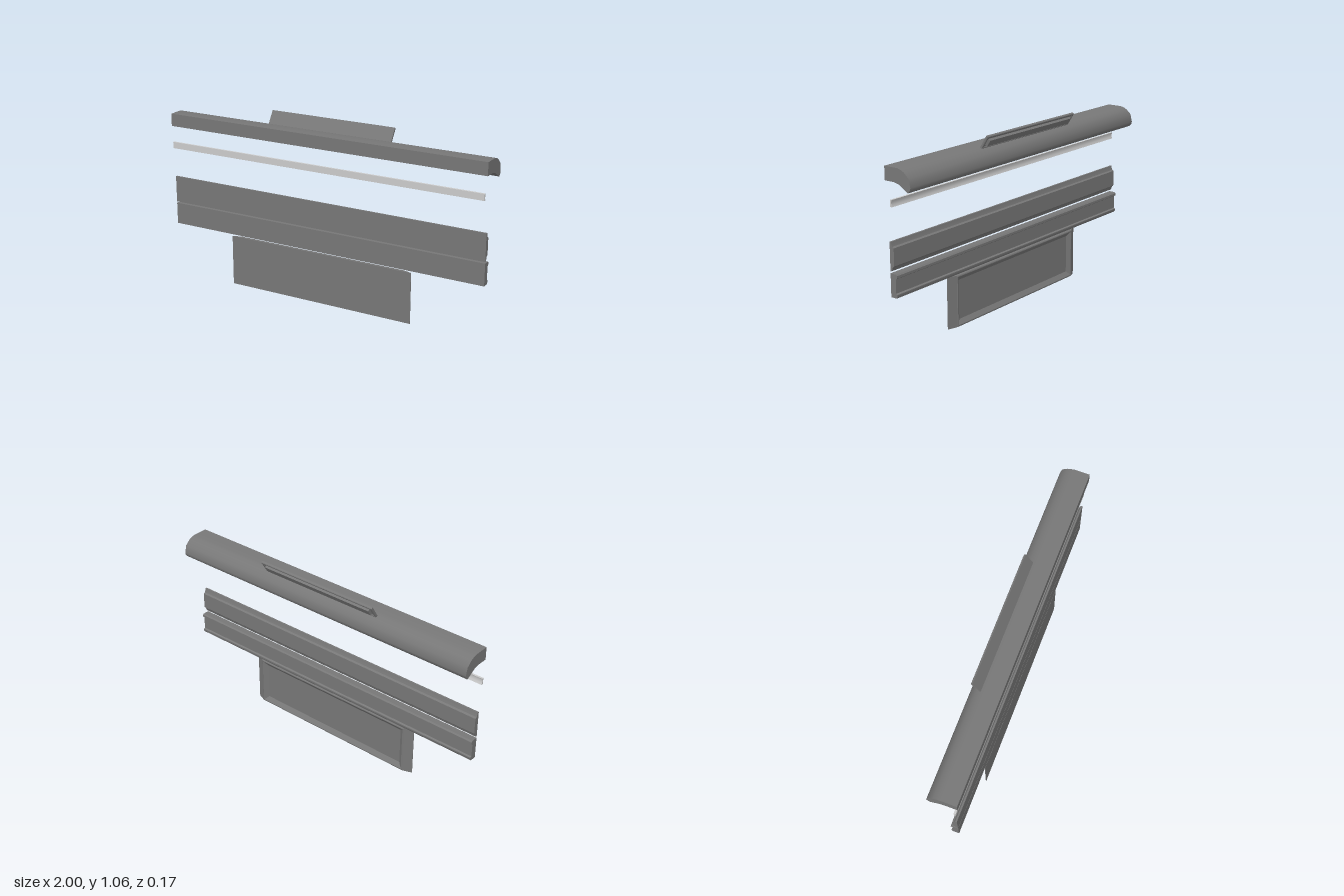
import * as THREE from 'three';
import { toCreasedNormals } from 'three/addons/utils/BufferGeometryUtils.js';

const dark = new THREE.MeshStandardMaterial({ color: 0x777777 });
const light = new THREE.MeshStandardMaterial({ color: 0xcccccc });

// Bar running along x from x0 to x1 with a (z, y) cross-section
function bar(name, profile, x0, x1, material = dark) {
  const shape = new THREE.Shape(profile.map(([z, y]) => new THREE.Vector2(-z, y)));
  const geometry = new THREE.ExtrudeGeometry(shape, { depth: x1 - x0, bevelEnabled: false });
  geometry.rotateY(Math.PI / 2).translate(x0, 0, 0);
  const mesh = new THREE.Mesh(toCreasedNormals(geometry, 0.62), material);
  mesh.name = name;
  return mesh;
}

// Rectangular plate, skinned from front to back through rings of [inset x, inset y, depth]
function plate(name, width, height, rings) {
  const positions = [], index = [];
  rings.forEach(([ix, iy, d], r) => {
    const w = width / 2 - ix;
    positions.push(-w, iy, -d, w, iy, -d, w, height - iy, -d, -w, height - iy, -d);
    if (r === 0) return;
    for (let i = 0; i < 4; i++) {
      const j = (i + 1) % 4, a = (r - 1) * 4, b = r * 4;
      index.push(a + i, b + i, b + j, a + i, b + j, a + j);
    }
  });
  const e = (rings.length - 1) * 4;
  index.push(0, 1, 2, 0, 2, 3, e, e + 2, e + 1, e, e + 3, e + 2);
  const indexed = new THREE.BufferGeometry();
  indexed.setAttribute('position', new THREE.Float32BufferAttribute(positions, 3));
  indexed.setIndex(index);
  const geometry = indexed.toNonIndexed();
  geometry.computeVertexNormals();
  const mesh = new THREE.Mesh(geometry, dark);
  mesh.name = name;
  return mesh;
}

export function createModel() {
  const group = new THREE.Group();
  const x0 = -0.994, x1 = 0.998;

  // Curved top cover, rounded over at the back and hollowed underneath
  group.add(bar('topCover', [
    [0.088, 0.919], [0.088, 0.993], [0, 0.993], [-0.02, 0.988], [-0.042, 0.978],
    [-0.072, 0.951], [-0.083, 0.906], [-0.08, 0.892], [-0.066, 0.877],
    [-0.007, 0.912], [0.027, 0.919],
  ], x0, x1));

  // Thin trim strip
  group.add(bar('trimStrip', [
    [0.074, 0.78], [0.074, 0.818], [0.062, 0.818], [0.066, 0.808], [0.066, 0.791], [0.062, 0.78],
  ], -1, 0.98, light));

  // Upper rail, stepped down at both long edges
  group.add(bar('upperRail', [
    [0.069, 0.448], [0.069, 0.606], [0.059, 0.606], [0.056, 0.592], [0.052, 0.581], [0.042, 0.575],
    [0.042, 0.48], [0.052, 0.472], [0.056, 0.461], [0.059, 0.452],
  ], x0, x1));

  // Lower rail, with a raised bead along both long edges
  group.add(bar('lowerRail', [
    [0.069, 0.311], [0.069, 0.439], [0.032, 0.439], [0.025, 0.432], [0.025, 0.419], [0.034, 0.413],
    [0.034, 0.337], [0.025, 0.332], [0.025, 0.321], [0.032, 0.311],
  ], x0, x1));

  // Bottom panel: sloped ends, thin rim, bevelled recess at the back
  const panel = plate('bottomPanel', 1.168, 0.3, [
    [0, 0, 0], [0, 0, 0.003], [0.052, 0.003, 0.025], [0.056, 0.008, 0.028],
    [0.06, 0.012, 0.028], [0.085, 0.037, 0.01],
  ]);
  panel.position.set(-0.011, 0, 0.069);
  group.add(panel);

  // Tilted tab on the cover: rimmed recess holding a raised bar
  const tab = plate('tiltedTab', 0.779, 0.087, [
    [0, 0, 0], [0, 0, 0.01], [0.003, 0.003, 0.013], [0.01, 0.01, 0.013],
    [0.014, 0.014, 0.007], [0.022, 0.022, 0.007], [0.026, 0.024, 0.021],
  ]);
  tab.position.set(0.0025, 0.984, -0.018);
  tab.rotation.x = -0.56;
  group.add(tab);

  return group;
}
